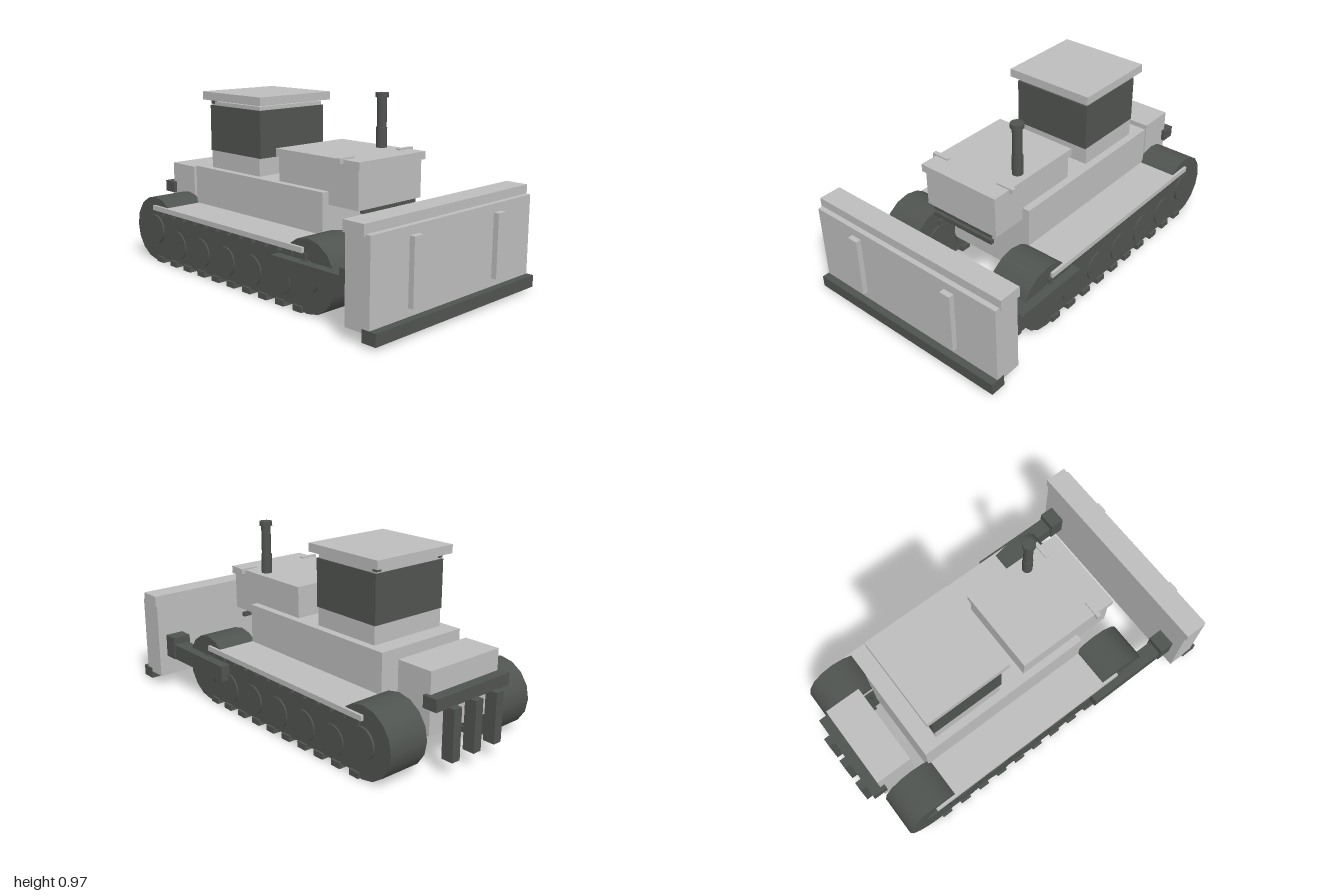
import * as THREE from 'three';

export function createModel() {
  const model = new THREE.Group();
  model.name = 'bulldozer';
  const light = new THREE.MeshStandardMaterial({ color: 0xbebebe });
  light.name = 'light grey paint';
  const dark = new THREE.MeshStandardMaterial({ color: 0x505450 });
  dark.name = 'dark steel';

  // Box given by its min and max along each axis
  const box = (name, mat, [x0, x1], [y0, y1], [z0, z1], parent = model) => {
    const mesh = new THREE.Mesh(new THREE.BoxGeometry(x1 - x0, y1 - y0, z1 - z0), mat);
    mesh.position.set((x0 + x1) / 2, (y0 + y1) / 2, (z0 + z1) / 2);
    mesh.name = name;
    parent.add(mesh);
    return mesh;
  };
  // Cylinder lying along z
  const roller = (name, x, y, z, r, width, sides, parent) => {
    const geo = new THREE.CylinderGeometry(r, r, width, sides).rotateX(Math.PI / 2);
    const mesh = new THREE.Mesh(geo, dark);
    mesh.position.set(x, y, z);
    mesh.name = name;
    parent.add(mesh);
  };
  // Upright cylinder
  const pipe = (name, r, y0, y1) => {
    const mesh = new THREE.Mesh(new THREE.CylinderGeometry(r, r, y1 - y0, 16), dark);
    mesh.position.set(0.34, (y0 + y1) / 2, -0.175);
    mesh.name = name;
    model.add(mesh);
  };

  // Hull and rear tank
  box('hull', light, [-0.64, 0.365], [0.13, 0.53], [-0.265, 0.265]);
  box('rearTank', light, [-0.91, -0.71], [0.2, 0.51], [-0.23, 0.23]);

  // Engine hood, handles and grille bars
  box('hood', light, [0.01, 0.56], [0.465, 0.66], [-0.225, 0.225]);
  box('hoodLid', light, [0, 0.575], [0.658, 0.698], [-0.237, 0.237]);
  for (const s of [-1, 1]) {
    const z = [0.16 * s, 0.26 * s].sort((a, b) => a - b);
    box('hoodHandle', light, [0.452, 0.475], [0.68, 0.706], z);
  }
  box('grilleBar', dark, [0.538, 0.558], [0.446, 0.466], [-0.19, 0.19]);
  box('grilleBar', dark, [0.538, 0.558], [0.405, 0.428], [-0.19, 0.19]);

  // Exhaust stack
  pipe('exhaustBase', 0.028, 0.69, 0.8);
  pipe('exhaustPipe', 0.025, 0.8, 0.955);
  pipe('exhaustCap', 0.034, 0.952, 0.975);

  // Cab
  box('cabBase', light, [-0.545, -0.145], [0.52, 0.63], [-0.223, 0.223]);
  box('cabWindows', dark, [-0.55, -0.135], [0.625, 0.873], [-0.225, 0.225]);
  box('cabTop', light, [-0.545, -0.145], [0.87, 0.893], [-0.218, 0.218]);
  for (const z of [-0.205, 0.205]) {
    box('roofPost', dark, [-0.55, -0.52], [0.88, 0.905], [z - 0.014, z + 0.014]);
  }
  box('roof', light, [-0.585, -0.105], [0.902, 0.946], [-0.25, 0.25]);

  // Tracks, fenders and push arms, mirrored left and right
  for (const s of [-1, 1]) {
    const side = new THREE.Group();
    side.name = s > 0 ? 'leftTrack' : 'rightTrack';
    model.add(side);
    const span = (a, b) => (s > 0 ? [a, b] : [-b, -a]);
    const zc = 0.363 * s;
    box('trackFrame', dark, [-0.74, 0.48], [0.03, 0.275], span(0.251, 0.474), side);
    for (const x of [-0.74, 0.48]) {
      roller('drum', x, 0.187, zc, 0.18, 0.224, 16, side);
      roller('hub', x, 0.187, zc, 0.08, 0.246, 20, side);
    }
    for (let i = 0; i < 5; i++) {
      roller('roadWheel', -0.54 + i * 0.207, 0.13, zc, 0.078, 0.238, 20, side);
    }
    for (let i = 0; i < 10; i++) {
      const x = -0.725 + i * 0.124;
      box('bottomPad', dark, [x, x + 0.06], [0.006, 0.036], span(0.241, 0.486), side);
    }
    for (let i = 0; i < 13; i++) {
      const x = -0.725 + i * 0.095;
      box('topPad', dark, [x, x + 0.065], [0.27, 0.297], span(0.241, 0.486), side);
    }
    box('fender', light, [-0.745, 0.46], [0.295, 0.322], span(0.25, 0.49), side);
    box('pushArm', dark, [0.285, 0.76], [0.176, 0.26], span(0.44, 0.525), side);
    box('armBracket', dark, [0.74, 0.825], [0.176, 0.3], span(0.43, 0.532), side);
    box('bladeRib', light, [0.955, 0.99], [0.125, 0.447], span(0.275, 0.335));
  }

  // Blade
  box('blade', light, [0.82, 0.962], [0.065, 0.49], [-0.58, 0.58]);
  box('bladeLip', light, [0.815, 0.935], [0.48, 0.535], [-0.59, 0.59]);
  box('cuttingEdge', dark, [0.92, 1], [0.024, 0.084], [-0.582, 0.582]);

  // Rear ripper
  box('ripperBar', dark, [-0.965, -0.885], [0.338, 0.4], [-0.25, 0.25]);
  for (const z of [-0.145, 0, 0.145]) {
    box('ripperTooth', dark, [-1, -0.935], [0.083, 0.342], [z - 0.025, z + 0.025]);
  }

  return model;
}
